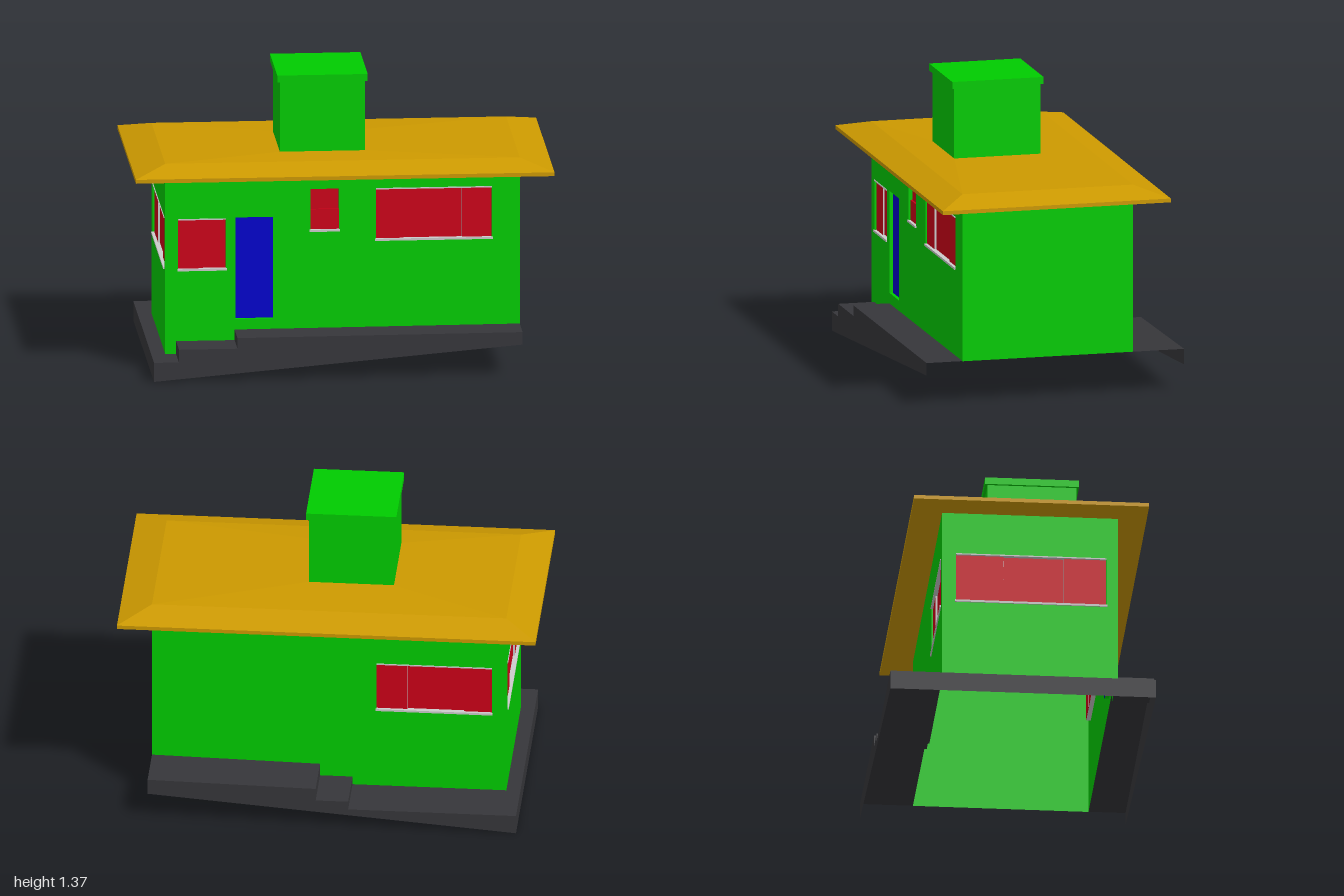
import * as THREE from 'three';

const mat = (color, side = THREE.FrontSide) => new THREE.MeshStandardMaterial({ color, side, flatShading: true });
const GREEN = mat(0x00cc00, THREE.DoubleSide), RED = mat(0xcc0018), BLUE = mat(0x0000cc);
const GREY = mat(0xcccccc), OCHRE = mat(0xcc9900, THREE.DoubleSide), DARK = mat(0x36363a, THREE.DoubleSide);

// plan of the walls and the plinth, eaves height and depth of the window recesses
const W = { x0: -0.82, x1: 0.816, z0: -0.373, z1: 0.438 };
const P = { x0: -0.885, x1: 0.816, z0: -0.617, z1: 0.609 };
const EAVES = 0.932, T = 0.02;

// stepped ground line along the front and back, as [x, y]
const FRONT = [[P.x0, 0.09], [-0.77, 0.09], [-0.77, 0.15], [-0.5, 0.15], [-0.5, 0.2], [P.x1, 0.204]];
const BACK = [[P.x0, 0.09], [-0.11, 0.09], [-0.11, 0.13], [0.04, 0.13], [0.04, 0.19], [P.x1, 0.203]];

function add(parent, name, geometry, material) {
  const m = new THREE.Mesh(geometry, material);
  m.name = name;
  parent.add(m);
  return m;
}

function box(parent, name, material, x0, x1, y0, y1, z0, z1) {
  const m = add(parent, name, new THREE.BoxGeometry(x1 - x0, y1 - y0, z1 - z0), material);
  m.position.set((x0 + x1) / 2, (y0 + y1) / 2, (z0 + z1) / 2);
}

// each quad is four corners, anticlockwise from its face side
function quads(list) {
  const pos = [];
  for (const [a, b, c, d] of list) pos.push(...a, ...b, ...c, ...a, ...c, ...d);
  const g = new THREE.BufferGeometry();
  g.setAttribute('position', new THREE.Float32BufferAttribute(pos, 3));
  g.computeVertexNormals();
  return g;
}

// faces joining each closed ring of four points to the next
function skin(rings) {
  const list = [];
  for (let r = 0; r + 1 < rings.length; r++) {
    for (let i = 0; i < 4; i++) {
      const j = (i + 1) % 4;
      list.push([rings[r][i], rings[r][j], rings[r + 1][j], rings[r + 1][i]]);
    }
  }
  return list;
}

const points = pts => pts.map(p => new THREE.Vector2(p[0], p[1]));

// a thin wall facing local +z, with recessed openings
function facade(parent, name, outline, openings) {
  const g = new THREE.Group();
  g.name = name;
  const shape = new THREE.Shape(points(outline));
  for (const o of openings) {
    const rim = [[o.x0, o.y0], [o.x0, o.y1], [o.x1, o.y1], [o.x1, o.y0]];
    shape.holes.push(new THREE.Path(points(rim)));
    add(g, 'reveal', quads(skin([0, -T].map(z => rim.map(p => [...p, z])))), GREEN);
    if (o.door) box(g, 'door', BLUE, o.x0, o.x1, o.y0, o.y1, -T - 0.003, -T + 0.004);
    else addWindow(g, o);
  }
  add(g, 'wall', new THREE.ShapeGeometry(shape), GREEN);
  parent.add(g);
  return g;
}

// panes staggered in depth, thin posts between them, sill and head strip
function addWindow(parent, o) {
  const g = new THREE.Group();
  g.name = 'window';
  const cuts = [o.x0, ...(o.posts || []), o.x1];
  for (let i = 0; i + 1 < cuts.length; i++) {
    const z = -T + (i % 2 ? 0.003 : 0.012);
    box(g, 'pane', RED, cuts[i], cuts[i + 1], o.y0, o.rail || o.y1, -T - 0.003, z);
    if (i) box(g, 'post', GREY, cuts[i] - 0.0005, cuts[i] + 0.0005, o.y0, o.y1, -T - 0.004, -T + 0.012);
  }
  if (o.rail) box(g, 'upperPane', RED, o.x0, o.x1, o.rail, o.y1, -T - 0.003, -T + 0.003);
  box(g, 'sill', GREY, o.x0 - 0.004, o.x1 + 0.004, o.y0 - 0.004, o.y0 + 0.006, -T, 0.006);
  if (!o.rail) box(g, 'head', GREY, o.x0, o.x1, o.y1 - 0.004, o.y1 + 0.002, -T, 0.003);
  parent.add(g);
}

// ground line trimmed to the wall ends
const wallLine = line => line.map(([x, y]) => [Math.min(Math.max(x, W.x0), W.x1), y]);

function buildWalls(house) {
  const front = facade(house, 'frontWall',
    [...wallLine(FRONT), [W.x1, EAVES], [W.x0, EAVES]], [
      { x0: 0.152, x1: 0.687, y0: 0.612, y1: 0.855, posts: [0.28, 0.55] },
      { x0: -0.15, x1: -0.018, y0: 0.66, y1: 0.858, rail: 0.76 },
      { x0: -0.495, x1: -0.322, y0: 0.25, y1: 0.73, door: true },
      { x0: -0.76, x1: -0.54, y0: 0.485, y1: 0.725, posts: [-0.645] }]);
  front.position.z = W.z1;

  const back = facade(house, 'backWall',
    [...wallLine(BACK), [W.x1, EAVES], [W.x0, EAVES]].map(([x, y]) => [-x, y]),
    [{ x0: 0.22, x1: 0.753, y0: 0.485, y1: 0.725, posts: [0.363, 0.625] }]);
  back.position.z = W.z0;
  back.rotation.y = Math.PI;

  const end = facade(house, 'windowEndWall',
    [[W.z0, 0.09], [W.z1, 0.09], [W.z1, EAVES], [W.z0, EAVES]],
    [{ x0: -0.31, x1: 0.385, y0: 0.485, y1: 0.725, posts: [-0.09, 0.19] }]);
  end.position.x = W.x0;
  end.rotation.y = -Math.PI / 2;

  const blank = facade(house, 'blankEndWall',
    [[-W.z1, 0.203], [-W.z0, 0.203], [-W.z0, EAVES], [-W.z1, EAVES]], []);
  blank.position.x = W.x1;
  blank.rotation.y = Math.PI / 2;
}

// open-bottomed stepped path: treads, risers and a tapering skirt
function buildPlinth(house) {
  const g = new THREE.Group();
  g.name = 'plinth';
  const sides = [
    ['frontPath', FRONT, W.z1, P.z1, P.z1, 0.145],
    ['backPath', BACK, P.z0, W.z0, P.z0, 0.13]];
  for (const [name, line, za, zb, skirtZ, endY] of sides) {
    const steps = line.slice(1).map((q, i) =>
      [[...line[i], za], [...line[i], zb], [...q, zb], [...q, za]]);
    add(g, name, quads(steps), DARK);
    const outline = [[P.x0, 0], [P.x1, endY], ...line.slice().reverse()];
    add(g, name + 'Skirt', new THREE.ShapeGeometry(new THREE.Shape(points(outline))), DARK).position.z = skirtZ;
  }
  const y = 0.09;
  add(g, 'endPath', quads([
    [[P.x0, y, W.z0], [P.x0, y, W.z1], [W.x0, y, W.z1], [W.x0, y, W.z0]],
    [[P.x0, 0, P.z0], [P.x0, 0, P.z1], [P.x0, y, P.z1], [P.x0, y, P.z0]]]), DARK);
  house.add(g);
}

// rectangular rings skinned from the soffit up to the foot of the rooftop block
function buildRoof(house) {
  const ring = (x0, x1, z0, z1, y) => [[x0, y, z1], [x1, y, z1], [x1, y, z0], [x0, y, z0]];
  const rings = [
    ring(-0.966, 0.966, -0.514, 0.571, 0.93),
    ring(-0.966, 0.966, -0.514, 0.571, 0.948),
    ring(W.x0, W.x1, W.z0, W.z1, 0.99),
    ring(-0.28, 0.113, -0.119, 0.291, 1.002)];
  add(house, 'roof', quads([rings[0].slice().reverse(), ...skin(rings)]), OCHRE);
}

export function createModel() {
  const model = new THREE.Group();
  model.name = 'house';
  buildWalls(model);
  buildPlinth(model);
  buildRoof(model);
  // rooftop tank housing
  box(model, 'rooftopBlock', GREEN, -0.28, 0.113, 0.99, 1.333, -0.119, 0.291);
  box(model, 'rooftopCap', GREEN, -0.292, 0.125, 1.332, 1.365, -0.131, 0.303);
  model.rotation.y = 0.065;
  return model;
}
